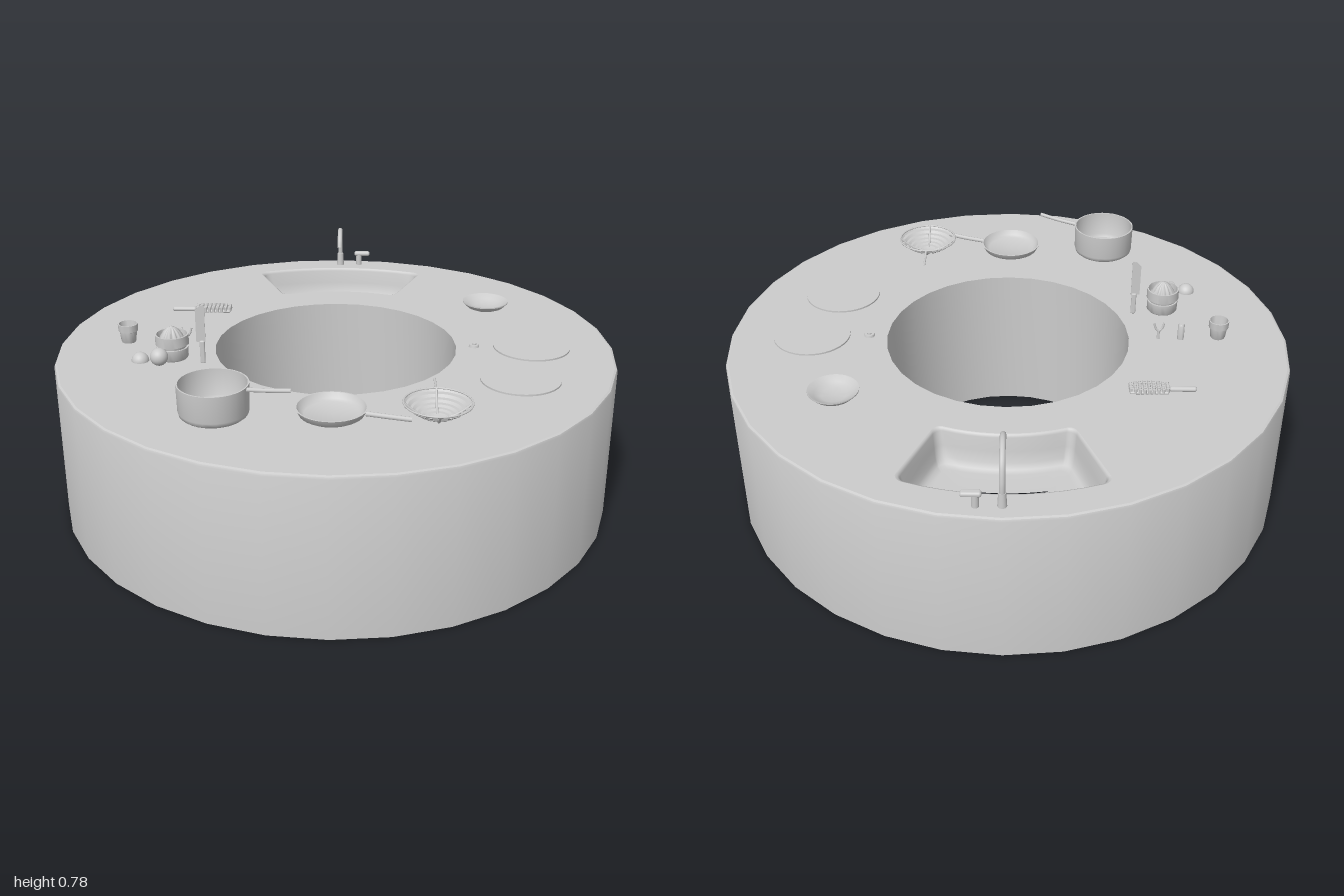
import * as THREE from 'three';
import { toCreasedNormals } from 'three/addons/utils/BufferGeometryUtils.js';
import { RoundedBoxGeometry } from 'three/addons/geometries/RoundedBoxGeometry.js';

const TOP = 0.565;
const mat = new THREE.MeshStandardMaterial({ color: 0xcccccc });
const thin = new THREE.MeshStandardMaterial({ color: 0xcccccc, side: THREE.DoubleSide });
const v2 = (a) => a.map(([x, y]) => new THREE.Vector2(x, y));

export function createModel() {
  const root = new THREE.Group();
  const add = (name, geo, x = 0, y = 0, z = 0, parent = root, material = mat) => {
    const m = new THREE.Mesh(geo, material);
    m.name = name;
    m.position.set(x, y, z);
    parent.add(m);
    return m;
  };
  const group = (name, x, y, z) => {
    const g = new THREE.Group();
    g.name = name;
    g.position.set(x, y, z);
    root.add(g);
    return g;
  };
  const lathe = (pts, seg = 32) => toCreasedNormals(new THREE.LatheGeometry(v2(pts), seg), 0.7);
  const tube = (pts, r, seg = 24) => new THREE.TubeGeometry(
    new THREE.CatmullRomCurve3(pts.map((p) => new THREE.Vector3(...p))), seg, r, 10);
  const circle = (r, n = 32) => Array.from({ length: n }, (_, i) =>
    new THREE.Vector2(r * Math.cos(i / n * Math.PI * 2), r * Math.sin(i / n * Math.PI * 2)));

  // Rounded sector outline of the sink, shrunk by an inset
  const R = 0.733;
  const sinkLoop = (inset) => {
    const hw = 0.29 - inset, hh = 0.152 - inset, rc = Math.min(0.03, hh * 0.9);
    const pts = [];
    for (const [sx, sy, start] of [[1, 1, 0], [-1, 1, 1], [-1, -1, 2], [1, -1, 3]]) {
      for (let k = 0; k <= 5; k++) {
        const t = (start + k / 5) * Math.PI / 2;
        pts.push([sx * (hw - rc) + rc * Math.cos(t), sy * (hh - rc) + rc * Math.sin(t)]);
      }
      if (sx * sy > 0) { // long curved sides
        for (let k = 1; k < 10; k++) pts.push([sx * (hw - rc) * (1 - k / 5), sy * hh]);
      }
    }
    return pts.map(([u, v]) => new THREE.Vector2((R + v) * Math.sin(u / R), (R + v) * Math.cos(u / R)));
  };

  // Ring-shaped counter
  const counter = group('counter', 0, 0, 0);
  add('outerWall', lathe([[1, 0], [1, TOP - 0.01], [0.997, TOP - 0.003], [0.99, TOP]]), 0, 0, 0, counter);
  add('innerWall', lathe([[0.435, TOP], [0.435, 0]]), 0, 0, 0, counter);
  add('underside', new THREE.RingGeometry(0.435, 1, 32).rotateX(Math.PI / 2), 0, 0, 0, counter);
  const shape = new THREE.Shape(circle(0.99));
  shape.holes.push(new THREE.Path(circle(0.435)), new THREE.Path(sinkLoop(0)));
  add('worktop', new THREE.ShapeGeometry(shape).rotateX(-Math.PI / 2), 0, TOP, 0, counter);

  // Sink basin from shrinking loops
  const rows = [[0, 0], [0.005, -0.002], [0.01, -0.01], [0.018, -0.06], [0.026, -0.1],
    [0.04, -0.117], [0.06, -0.122], [0.15, -0.123]];
  const pos = [], idx = [], n = sinkLoop(0).length;
  rows.forEach(([inset, y], j) => {
    sinkLoop(inset).forEach((p) => pos.push(p.x, TOP + y, -p.y));
    if (j) for (let i = 0; i < n; i++) {
      const a = (j - 1) * n + i, b = (j - 1) * n + (i + 1) % n;
      idx.push(a, b, a + n, b, b + n, a + n);
    }
  });
  const basin = new THREE.BufferGeometry();
  basin.setAttribute('position', new THREE.Float32BufferAttribute(pos, 3));
  basin.setIndex(idx);
  basin.computeVertexNormals();
  add('sinkBasin', basin, 0, 0, 0, root, thin);

  // Gooseneck tap and its lever
  const tap = group('tap', 0, TOP, 0);
  add('tapBase', new THREE.CylinderGeometry(0.012, 0.015, 0.05, 20), 0, 0.025, -0.935, tap);
  add('tapSpout', tube([[0, 0, -0.935], [0, 0.09, -0.935], [0, 0.145, -0.915], [0, 0.174, -0.865],
    [0, 0.172, -0.82], [0, 0.15, -0.785], [0, 0.125, -0.772]], 0.0095, 36), 0, 0, 0, tap);
  add('tapSpoutEnd', new THREE.CircleGeometry(0.0095, 10).rotateX(Math.PI / 2), 0, 0.125, -0.772, tap);
  add('leverPost', new THREE.CylinderGeometry(0.012, 0.012, 0.045, 16), 0.08, 0.022, -0.938, tap);
  add('lever', new RoundedBoxGeometry(0.065, 0.018, 0.024, 3, 0.008), 0.093, 0.048, -0.938, tap);

  // Hob plates and control knob
  for (const [x, z] of [[0.707, 0], [0.633, 0.295]]) {
    add('hobPlate', new THREE.CylinderGeometry(0.138, 0.138, 0.006, 40), x, TOP + 0.003, z);
  }
  add('hobKnob', new THREE.CylinderGeometry(0.017, 0.019, 0.008, 20), 0.5, TOP + 0.004, 0);
  add('hobKnobGrip', new THREE.CylinderGeometry(0.008, 0.008, 0.006, 14), 0.5, TOP + 0.01, 0);

  // Shallow dish
  add('dish', lathe([[0, 0], [0.045, 0], [0.07, 0.011], [0.087, 0.028], [0.087, 0.032],
    [0.083, 0.031], [0.066, 0.016], [0.042, 0.007], [0, 0.006]]), 0.575, 0.568, -0.39);

  // Cooking pot
  const pot = group('pot', -0.37, 0.584, 0.632);
  add('potBody', lathe([[0, 0], [0.1, 0], [0.11, 0.008], [0.113, 0.02], [0.115, 0.11],
    [0.11, 0.11], [0.107, 0.02], [0.1, 0.008], [0, 0.008]]), 0, 0, 0, pot);
  add('potHandle', tube([[0.108, 0.1, 0.03], [0.18, 0.108, 0.053], [0.25, 0.119, 0.078]], 0.007), 0, 0, 0, pot);

  // Frying pan
  const pan = group('fryingPan', 0, 0.586, 0.632);
  add('panBody', lathe([[0, 0], [0.09, 0], [0.104, 0.008], [0.115, 0.03], [0.11, 0.03],
    [0.1, 0.012], [0.088, 0.006], [0, 0.006]]), 0, 0, 0, pan);
  add('panHandle', tube([[0.108, 0.02, 0.03], [0.18, 0.021, 0.053], [0.25, 0.024, 0.078]], 0.008), 0, 0, 0, pan);

  // Slotted colander
  const colander = group('colander', 0.333, 0.576, 0.63);
  const bowlY = (r) => 0.057 * (r / 0.111) ** 2;
  add('colanderCentre', lathe([[0, 0], [0.02, 0.001], [0.032, bowlY(0.032)]]), 0, 0, 0, colander, thin);
  for (let i = 0; i < 5; i++) {
    const a = 0.04 + i * 0.0155, b = a + 0.009;
    add('colanderBand', new THREE.LatheGeometry(v2([[a, bowlY(a)], [b, bowlY(b)]]), 32), 0, 0, 0, colander, thin);
  }
  for (let i = 0; i < 4; i++) {
    const rib = tube([0.025, 0.055, 0.085, 0.11].map((r) => [r, bowlY(r), 0]), 0.004, 12);
    add('colanderRib', rib, 0, 0, 0, colander).rotation.y = i * Math.PI / 2;
  }
  add('colanderRim', new THREE.TorusGeometry(0.109, 0.003, 8, 40).rotateX(Math.PI / 2), 0, 0.056, 0, colander);
  add('colanderHandle', tube([[0, 0.054, -0.108], [0, 0.047, -0.15], [0, 0.045, -0.21]], 0.004), 0, 0, 0, colander);

  // Scrubbing brush lying flat
  const brush = group('brush', -0.48, TOP, -0.336);
  add('brushHead', new RoundedBoxGeometry(0.13, 0.01, 0.056, 3, 0.005), 0, 0.01, 0, brush);
  for (let i = 0; i < 9; i++) {
    const w = 0.07 * Math.sqrt(1 - (Math.abs(i - 4) / 5.5) ** 2);
    for (let k = -2; k <= 2; k++) {
      add('bristle', new THREE.CylinderGeometry(0.005, 0.006, 0.016, 8), (i - 4) * 0.0155, 0.018, k * w / 5, brush);
    }
  }
  add('brushHandle', new THREE.CapsuleGeometry(0.009, 0.075, 6, 12).rotateZ(Math.PI / 2), -0.115, 0.011, 0, brush);

  // Cup
  add('cup', lathe([[0, 0], [0.024, 0], [0.027, 0.006], [0.031, 0.042], [0.035, 0.044], [0.036, 0.07],
    [0.032, 0.07], [0.024, 0.008], [0, 0.008]], 24), -0.752, 0.574, 0);

  // Shaker and two-pronged holder
  add('shaker', lathe([[0, 0], [0.012, 0], [0.012, 0.055], [0.008, 0.062], [0, 0.063]], 20), -0.62, TOP, 0);
  const holder = group('prongedHolder', -0.54, TOP, 0);
  add('stem', new THREE.CylinderGeometry(0.004, 0.006, 0.035, 10), 0, 0.0175, 0, holder);
  for (const s of [-1, 1]) {
    add('prong', tube([[0, 0.03, 0], [s * 0.011, 0.042, 0], [s * 0.018, 0.065, 0]], 0.004, 10), 0, 0, 0, holder);
  }

  // Knife standing on its handle
  const knife = group('knife', -0.465, TOP, 0.175);
  add('knifeHandle', new RoundedBoxGeometry(0.018, 0.085, 0.012, 3, 0.005), 0.004, 0.0425, 0, knife);
  const blade = new THREE.Shape(v2([[-0.016, 0.08], [0.016, 0.08], [0.016, 0.217], [0.002, 0.214], [-0.016, 0.195]]));
  add('knifeBlade', new THREE.ExtrudeGeometry(blade, { depth: 0.004, bevelEnabled: false }), 0, 0, -0.002, knife);

  // Citrus press: two stacked cups and a ribbed cone
  const press = group('citrusPress', -0.566, 0.586, 0.172);
  add('lowerCup', lathe([[0, 0], [0.05, 0], [0.055, 0.006], [0.056, 0.042], [0, 0.042]]), 0, 0, 0, press);
  add('upperCup', lathe([[0, 0.042], [0.05, 0.042], [0.052, 0.05], [0.058, 0.052], [0.058, 0.088],
    [0.053, 0.088], [0.05, 0.062], [0, 0.062]]), 0, 0, 0, press);
  const cone = new THREE.LatheGeometry(v2([[0.042, 0.06], [0.036, 0.08], [0.024, 0.1], [0.011, 0.112], [0, 0.115]]), 48);
  const p = cone.attributes.position;
  for (let i = 0; i < p.count; i++) { // flute the cone
    const s = 1 + 0.12 * Math.cos(12 * Math.atan2(p.getZ(i), p.getX(i)));
    p.setXYZ(i, p.getX(i) * s, p.getY(i), p.getZ(i) * s);
  }
  cone.computeVertexNormals();
  add('ribbedCone', cone, 0, 0, 0, press);

  // Whole and halved fruit
  add('fruit', new THREE.SphereGeometry(0.031, 24, 16), -0.6, 0.621, 0.255);
  add('halfFruit', new THREE.SphereGeometry(0.03, 24, 10, 0, Math.PI * 2, 0, Math.PI / 2), -0.663, 0.61, 0.263);
  add('halfFruitCut', new THREE.CircleGeometry(0.03, 24).rotateX(Math.PI / 2), -0.663, 0.61, 0.263);

  return root;
}
